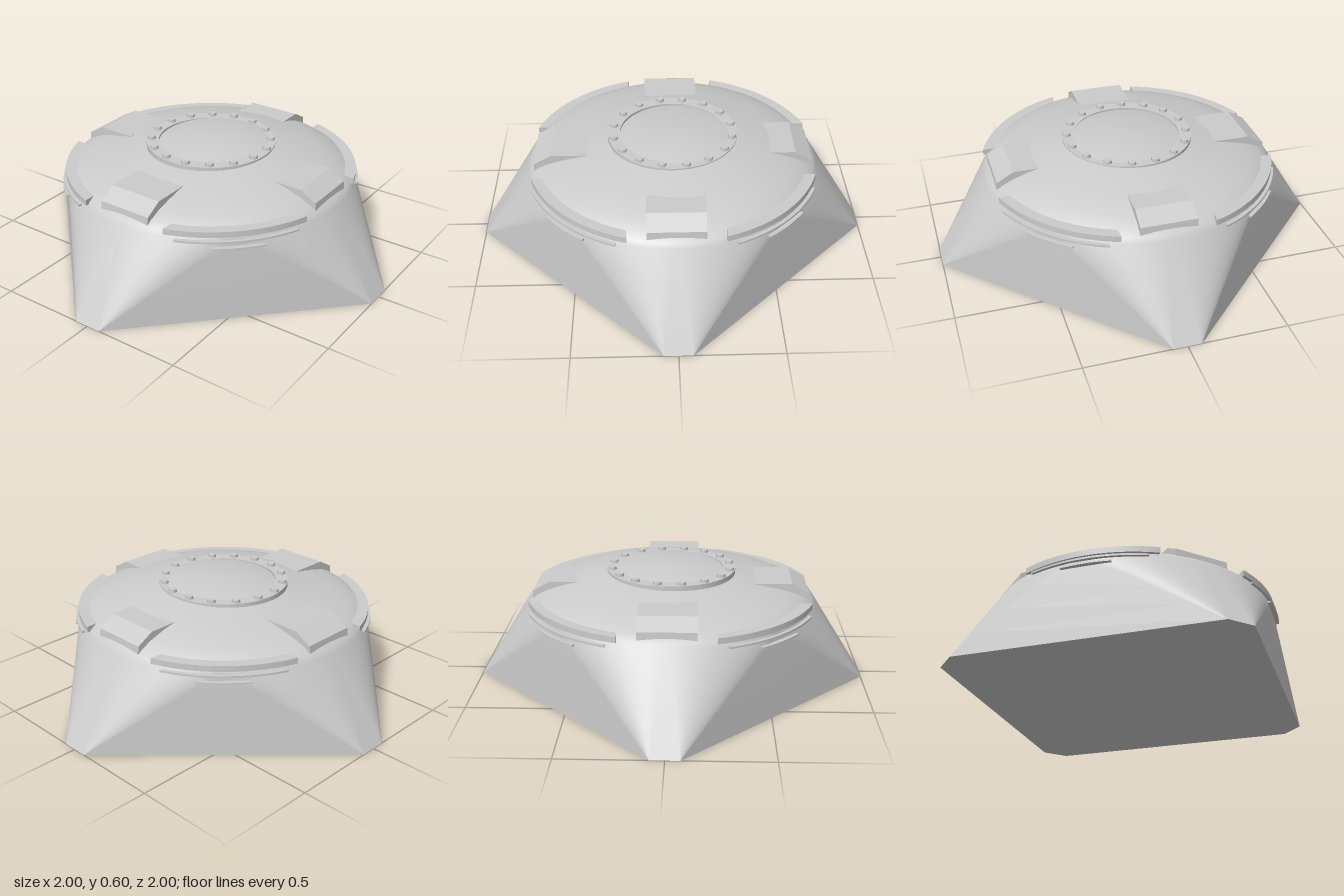
import * as THREE from 'three';

const grey = () => new THREE.MeshStandardMaterial({ color: 0xcccccc });

function add(parent, name, geometry) {
  const mesh = new THREE.Mesh(geometry, grey());
  mesh.name = name;
  parent.add(mesh);
  return mesh;
}

// Corner-cut diamond footprint, one point per 45 degree sector
const FOOT = [[1, 0.07], [0.07, 1], [-0.07, 1], [-1, 0.07], [-1, -0.07], [-0.07, -1], [0.07, -1], [1, -0.07]];

// Hull: footprint lofted into a circle, then closed by a shallow dome
function hullGeometry() {
  const N = 96;
  const rings = [];
  for (const t of [0, 0.25, 0.5, 0.75, 1]) rings.push({ t, r: 0.74, y: 0.42 * t });
  const dome = [[0.725, 0.442], [0.69, 0.466], [0.64, 0.49], [0.56, 0.515], [0.47, 0.535], [0.4, 0.55],
    [0.33, 0.564], [0.27, 0.576], [0.2, 0.589], [0.1, 0.598], [0.001, 0.601]];
  for (const [r, y] of dome) rings.push({ t: 1, r, y });

  const pos = [], idx = [];
  rings.forEach(({ t, r, y }, k) => {
    for (let i = 0; i < N; i++) {
      const a = ((i + 0.5) / N) * Math.PI * 2;
      const f = FOOT[Math.floor(a / (Math.PI / 4))];
      const x = f[0] * (1 - t) + r * Math.cos(a) * t;
      const z = f[1] * (1 - t) + r * Math.sin(a) * t;
      // the dome leans slightly towards one side
      const lean = k > 4 ? 0.028 * (x - z) * Math.max(0, 1 - (r / 0.68) ** 2) : 0;
      pos.push(x, y + lean, z);
      if (k > 0) {
        const j = (i + 1) % N, lo = (k - 1) * N, hi = k * N;
        idx.push(lo + i, hi + i, hi + j, lo + i, hi + j, lo + j);
      }
    }
  });
  const g = new THREE.BufferGeometry();
  g.setAttribute('position', new THREE.Float32BufferAttribute(pos, 3));
  g.setIndex(idx);
  g.computeVertexNormals();
  return g;
}

// Curved slat centred on a 45 degree wall, lying flat between two heights
function slatGeometry(inner, outer, halfAngle, y, height) {
  const mid = Math.PI / 4;
  const s = new THREE.Shape();
  s.absarc(0, 0, outer, mid - halfAngle, mid + halfAngle, false);
  s.absarc(0, 0, inner, mid + halfAngle * 0.8, mid - halfAngle * 0.8, true);
  const g = new THREE.ExtrudeGeometry(s, { depth: height, bevelEnabled: false, curveSegments: 20 });
  return g.rotateX(-Math.PI / 2).translate(0, y, 0);
}

// Block with a sloped outer nose, pointing along +x
function lugGeometry() {
  const s = new THREE.Shape([[0.42, 0.43], [0.705, 0.43], [0.7, 0.487], [0.615, 0.535], [0.42, 0.535]]
    .map(([x, y]) => new THREE.Vector2(x, y)));
  return new THREE.ExtrudeGeometry(s, { depth: 0.28, bevelEnabled: false }).translate(0, 0, -0.14);
}

export function createModel() {
  const model = new THREE.Group();
  model.name = 'armouredDome';

  add(model, 'hull', hullGeometry());
  const foot = new THREE.Shape(FOOT.map(([x, z]) => new THREE.Vector2(x, z)));
  add(model, 'underside', new THREE.ShapeGeometry(foot).rotateX(Math.PI / 2));

  // Lugs on the four corners and slats on the four walls between them
  const lug = lugGeometry();
  const slats = [
    slatGeometry(0.6, 0.745, 0.47, 0.435, 0.03),
    slatGeometry(0.6, 0.758, 0.4, 0.41, 0.01),
    slatGeometry(0.6, 0.765, 0.17, 0.38, 0.008),
  ];
  for (let q = 0; q < 4; q++) {
    const side = new THREE.Group();
    side.name = 'side' + (q + 1);
    side.rotation.y = q * Math.PI / 2;
    add(side, 'lug', lug);
    slats.forEach((g, i) => add(side, ['upperSlat', 'middleSlat', 'lowerSlat'][i], g));
    model.add(side);
  }

  // Flat collar around the crown, with a ring of hexagonal bolts
  const ring = new THREE.Shape().absarc(0, 0, 0.33, 0, Math.PI * 2, false);
  ring.holes.push(new THREE.Path().absarc(0, 0, 0.268, 0, Math.PI * 2, true));
  const collar = new THREE.ExtrudeGeometry(ring, { depth: 0.03, bevelEnabled: false, curveSegments: 32 });
  add(model, 'collar', collar.rotateX(-Math.PI / 2).translate(0, 0.55, 0));

  const boltGeometry = new THREE.CylinderGeometry(0.02, 0.023, 0.02, 6);
  for (let i = 0; i < 16; i++) {
    const a = ((i + 0.5) / 16) * Math.PI * 2;
    const bolt = add(model, 'bolt', boltGeometry);
    bolt.position.set(0.305 * Math.cos(a), 0.585, 0.305 * Math.sin(a));
  }
  return model;
}
